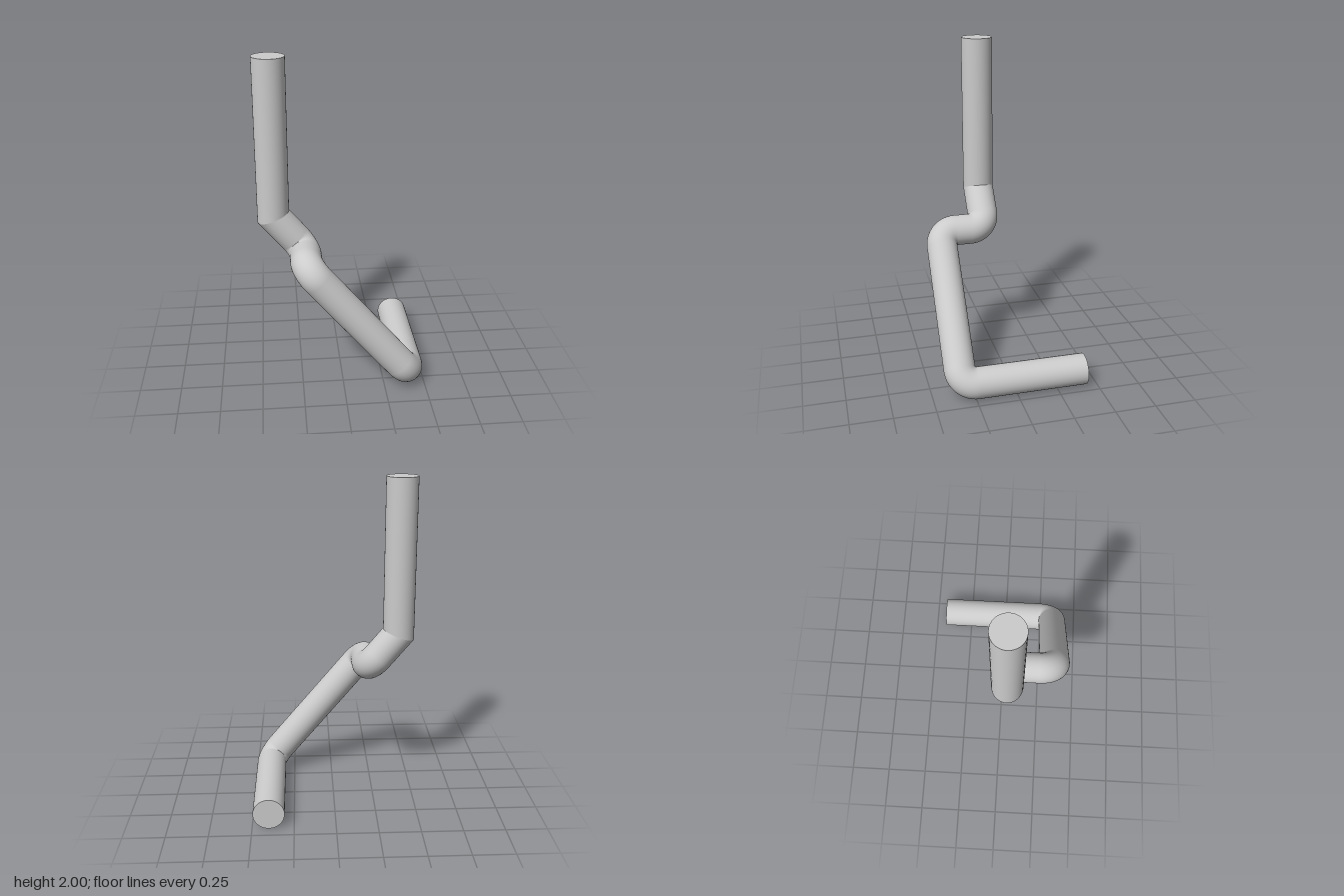
import * as THREE from 'three';

const R = 0.0945;      // rod radius
const BEND = 0.0955;   // centreline radius of the bends
const SIDES = 48, STEPS = 14;
const v = (x, y, z) => new THREE.Vector3(x, y, z);

const material = new THREE.MeshStandardMaterial({ color: 0xcccccc, side: THREE.DoubleSide });

// A cross-section: centre c, travel direction t, side axis b (sb = stretched side axis at a mitre)
const ring = (c, t, b, sb = b) => ({ c, t, b, sb, n: b.clone().cross(t) });

// Rings of a quarter bend at corner p, turning from direction t1 to t2
function bend(p, t1, t2, b) {
  const rings = [];
  const centre = p.clone().addScaledVector(t1, -BEND).addScaledVector(t2, BEND);
  for (let i = 0; i <= STEPS; i++) {
    const a = (i / STEPS) * Math.PI / 2, cos = Math.cos(a), sin = Math.sin(a);
    const t = t1.clone().multiplyScalar(cos).addScaledVector(t2, sin);
    const c = centre.clone().addScaledVector(t2, -BEND * cos).addScaledVector(t1, BEND * sin);
    rings.push(ring(c, t, b));
  }
  return rings;
}

// Skin the rings with smooth round normals
function loft(rings) {
  const pos = [], nor = [], idx = [], row = SIDES + 1;
  rings.forEach((r, i) => {
    for (let j = 0; j <= SIDES; j++) {
      const a = (j / SIDES) * Math.PI * 2, cos = Math.cos(a), sin = Math.sin(a);
      const p = r.c.clone().addScaledVector(r.n, R * cos).addScaledVector(r.sb, R * sin);
      const n = r.n.clone().multiplyScalar(cos).addScaledVector(r.b, sin);
      pos.push(p.x, p.y, p.z);
      nor.push(n.x, n.y, n.z);
      if (i && j < SIDES) {
        const k = (i - 1) * row + j;
        idx.push(k, k + 1, k + row, k + 1, k + row + 1, k + row);
      }
    }
  });
  const g = new THREE.BufferGeometry();
  g.setAttribute('position', new THREE.Float32BufferAttribute(pos, 3));
  g.setAttribute('normal', new THREE.Float32BufferAttribute(nor, 3));
  g.setIndex(idx);
  return g;
}

export function createModel() {
  const group = new THREE.Group();
  group.name = 'bentRod';
  const add = (name, geometry) => {
    const mesh = new THREE.Mesh(geometry, material);
    mesh.name = name;
    group.add(mesh);
    return mesh;
  };

  // Corner points of the centreline
  const backZ = 0.0465, frontZ = 0.3325;
  const top = v(-0.4, 2, backZ), knee = v(-0.4, 1.05, backZ);
  const foot = v(0.4, R, frontZ), end = v(0.4, R, -0.427);
  const down = v(0, -1, 0), fwd = v(0, 0, 1), back = v(0, 0, -1);
  const slope = v(foot.x - knee.x, foot.y - knee.y, 0).normalize();
  const stepBack = knee.clone().addScaledVector(slope, 0.287);
  const stepFront = stepBack.clone().setZ(frontZ);

  // Side axes, and the shared stretched one where the two rods meet at a mitre
  const b1 = v(1, 0, 0), b2 = v(-slope.y, slope.x, 0);
  const mitre = b1.clone().add(b2).divideScalar(1 + b1.dot(b2));

  add('uprightRod', loft([ring(top, down, b1), ring(knee, down, b1, mitre)]));

  add('crankedRod', loft([
    ring(knee, slope, b2, mitre),
    ...bend(stepBack, slope, fwd, b2),
    ...bend(stepFront, fwd, slope, b2),
    ...bend(foot, slope, back, b2),
    ring(end, back, b2),
  ]));

  // Flat ends
  const disc = new THREE.CircleGeometry(R, SIDES);
  const topCap = add('topCap', disc);
  topCap.position.copy(top);
  topCap.rotation.x = -Math.PI / 2;
  const endCap = add('endCap', disc);
  endCap.position.copy(end);
  endCap.rotation.y = Math.PI;

  return group;
}
